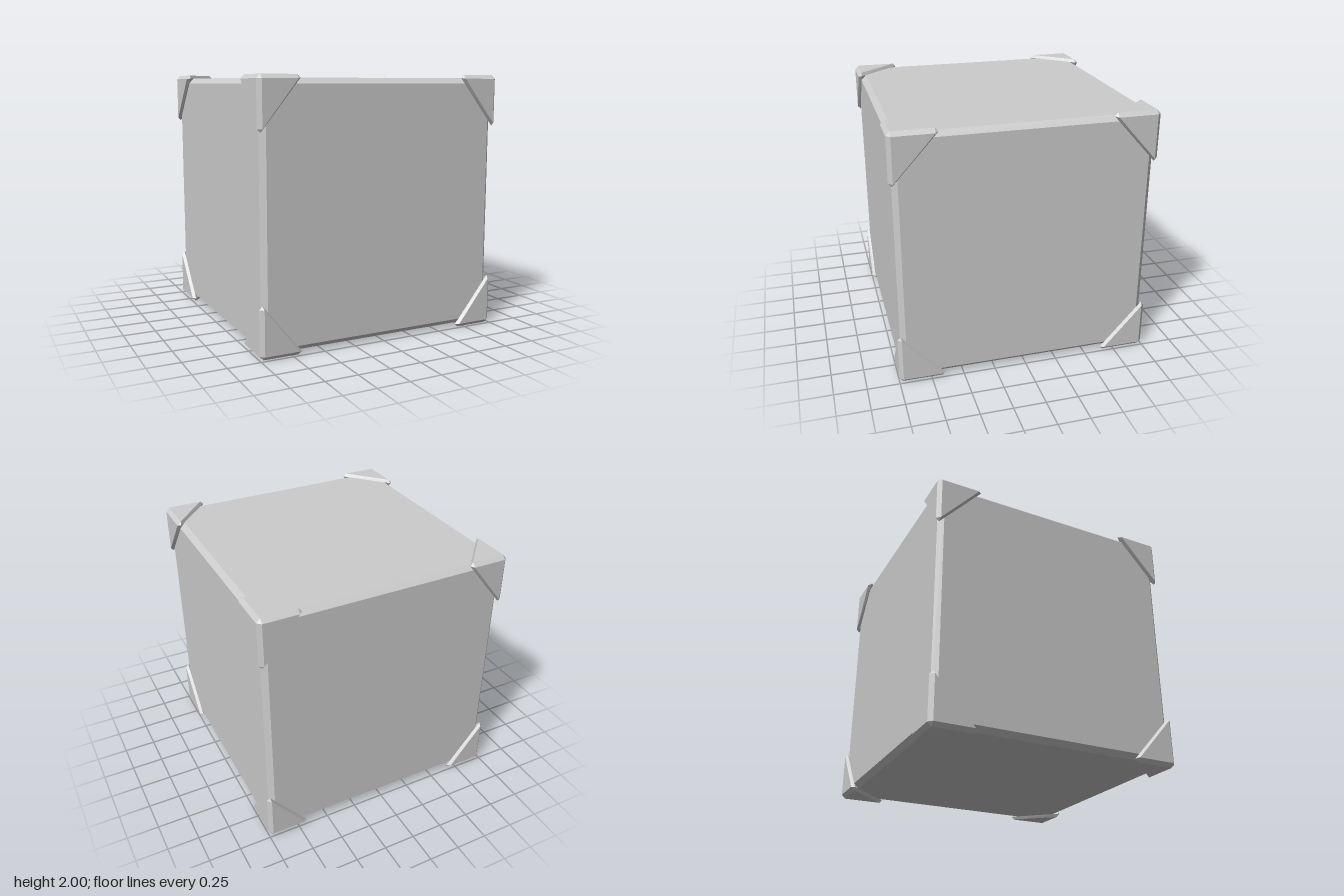
import * as THREE from 'three';
import { ConvexGeometry } from 'three/addons/geometries/ConvexGeometry.js';

const SIGNS = [-1, 1];
const AXES = ['x', 'y', 'z'];

// Vector with value a on one axis, b on the next and c on the one after
function onAxes(i, a, b, c) {
  const v = new THREE.Vector3();
  v[AXES[i]] = a;
  v[AXES[(i + 1) % 3]] = b;
  v[AXES[(i + 2) % 3]] = c;
  return v;
}

// Cube with chamfered edges: the corners of its six inset faces
function bodyGeometry(outer, inner) {
  const points = [];
  for (let i = 0; i < 3; i++)
    for (const a of SIGNS) for (const b of SIGNS) for (const c of SIGNS)
      points.push(onAxes(i, a * outer, b * inner, c * inner));
  return new ConvexGeometry(points);
}

// Three-armed corner guard; tips holds where each arm ends along x, y and z
function guardGeometry(tips, signs) {
  const outer = 1, inner = 0.97, base = 0.975, bevel = 0.025;
  const points = [];
  tips.forEach((tip, i) => {
    points.push(
      onAxes(i, outer, inner, inner),       // chamfered cube corner
      onAxes(i, tip + bevel, outer, inner), // upper end of the arm
      onAxes(i, tip + bevel, inner, outer),
      onAxes(i, tip, base, base)            // bevelled tip on the body
    );
  });
  return new ConvexGeometry(points.map((p) => p.multiply(signs)));
}

export function createModel() {
  const group = new THREE.Group();
  const material = new THREE.MeshStandardMaterial({ color: 0xcccccc, flatShading: true });

  function add(name, geometry) {
    const mesh = new THREE.Mesh(geometry, material);
    mesh.name = name;
    mesh.position.y = 1;
    group.add(mesh);
  }

  add('boxBody', bodyGeometry(0.975, 0.935));

  // One guard on each of the eight corners
  for (const x of SIGNS) for (const y of SIGNS) for (const z of SIGNS) {
    const name = (y > 0 ? 'top' : 'bottom') + (z > 0 ? 'Front' : 'Back') + (x > 0 ? 'Left' : 'Right');
    add(name + 'CornerGuard', guardGeometry([0.675, 0.605, 0.64], new THREE.Vector3(x, y, z)));
  }
  return group;
}
